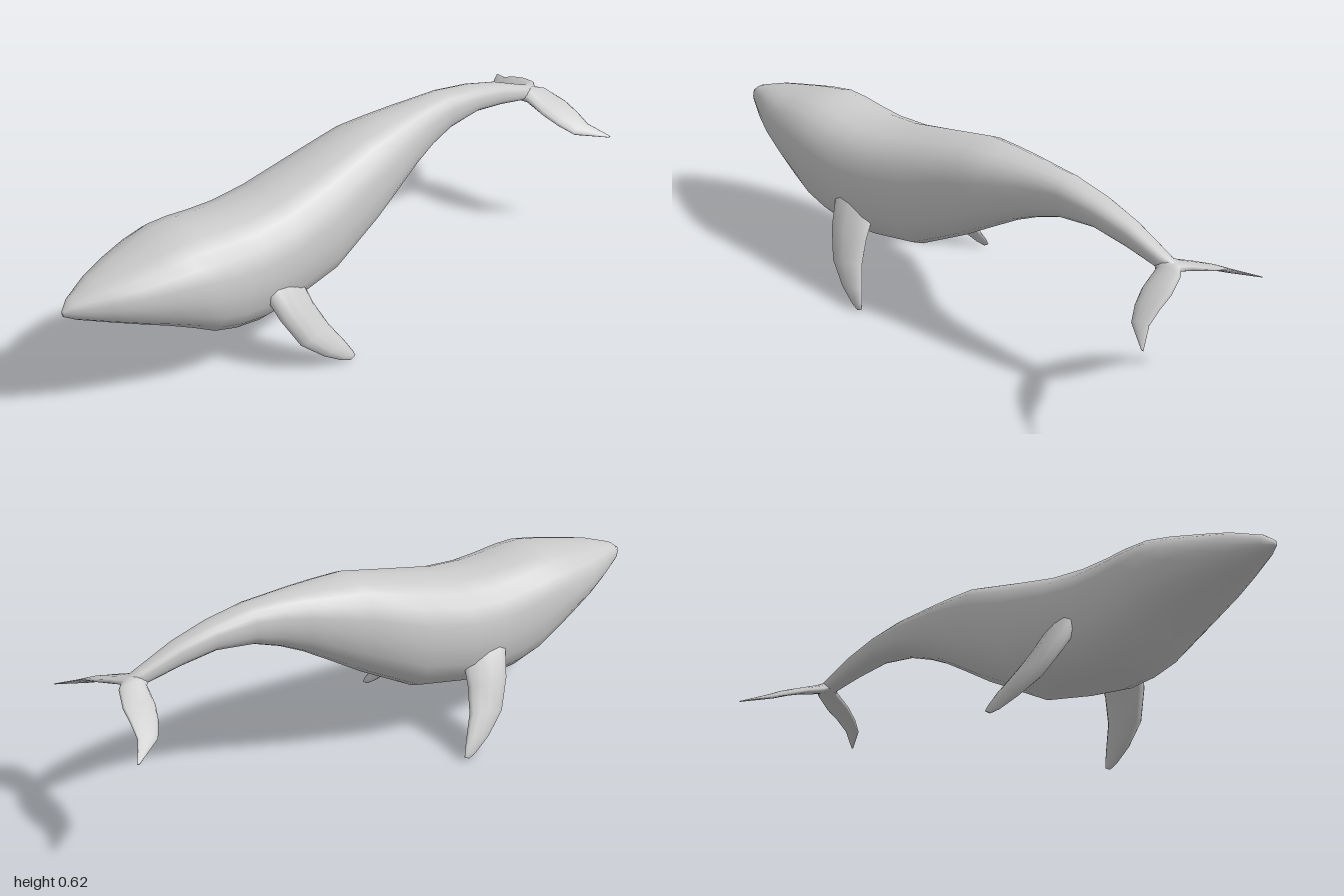
import * as THREE from 'three';

const material = new THREE.MeshStandardMaterial({ color: 0xcccccc });

// Skins a list of equal-length point rings, closes both ends, and turns faces outward.
function loft(rings, name) {
  const n = rings[0].length, last = rings.length - 1;
  const points = rings.flat();
  const index = [];
  for (let i = 0; i < last; i++) {
    for (let j = 0; j < n; j++) {
      const a = i * n + j, b = i * n + (j + 1) % n;
      index.push(a, a + n, b, b, a + n, b + n);
    }
  }
  for (const i of [0, last]) {
    const centre = rings[i].reduce((s, p) => s.add(p), new THREE.Vector3()).divideScalar(n);
    const c = points.push(centre) - 1;
    for (let j = 0; j < n; j++) {
      const a = i * n + j, b = i * n + (j + 1) % n;
      if (i === 0) index.push(c, a, b);
      else index.push(c, b, a);
    }
  }
  let volume = 0;
  for (let k = 0; k < index.length; k += 3) {
    const [a, b, c] = [0, 1, 2].map((d) => points[index[k + d]]);
    volume += a.dot(b.clone().cross(c));
  }
  if (volume < 0) index.reverse();
  const geometry = new THREE.BufferGeometry().setFromPoints(points);
  geometry.setIndex(index);
  geometry.computeVertexNormals();
  const mesh = new THREE.Mesh(geometry, material);
  mesh.name = name;
  return mesh;
}

// Body cross-section: a slightly squared oval.
function bodyRing([x, top, bottom, halfWidth]) {
  const ring = [], sides = 20, power = 2 / 2.4;
  const round = (v) => Math.sign(v) * Math.abs(v) ** power;
  for (let j = 0; j < sides; j++) {
    const a = (j / sides) * Math.PI * 2;
    ring.push(new THREE.Vector3(
      x,
      (top + bottom) / 2 + round(Math.sin(a)) * (top - bottom) / 2,
      round(Math.cos(a)) * halfWidth,
    ));
  }
  return ring;
}

// Fin cross-section: a teardrop between leading and trailing edge, thick along "up".
function finRing(lead, trail, half, up) {
  const ring = [], sides = 12;
  const L = new THREE.Vector3(...lead), T = new THREE.Vector3(...trail);
  for (let j = 0; j < sides; j++) {
    const a = (j / sides) * Math.PI * 2;
    const t = (1 - Math.cos(a)) / 2;
    ring.push(L.clone().lerp(T, t).addScaledVector(up, Math.sin(a) * half * (1.15 - 0.5 * t)));
  }
  return ring;
}

// x, top, bottom, half width, from snout to tail stock
const bodyStations = [
  [-1.0, 0.42, 0.4, 0.008],
  [-0.97, 0.444, 0.383, 0.035],
  [-0.88, 0.475, 0.345, 0.088],
  [-0.8, 0.492, 0.31, 0.126],
  [-0.7, 0.515, 0.263, 0.16],
  [-0.62, 0.53, 0.218, 0.178],
  [-0.55, 0.53, 0.172, 0.184],
  [-0.47, 0.522, 0.145, 0.186],
  [-0.38, 0.517, 0.134, 0.187],
  [-0.26, 0.526, 0.148, 0.186],
  [-0.09, 0.566, 0.18, 0.173],
  [0.1, 0.612, 0.287, 0.143],
  [0.2, 0.617, 0.352, 0.12],
  [0.3, 0.62, 0.415, 0.094],
  [0.38, 0.62, 0.455, 0.075],
  [0.47, 0.618, 0.488, 0.061],
  [0.6, 0.595, 0.505, 0.05],
  [0.72, 0.562, 0.485, 0.038],
  [0.84, 0.51, 0.457, 0.026],
  [0.88, 0.495, 0.465, 0.015],
];

// leading edge, trailing edge, half thickness, from shoulder to tip
const flipperStations = [
  [[-0.405, 0.32, 0.145], [-0.24, 0.29, 0.135], 0.036],
  [[-0.365, 0.2, 0.21], [-0.225, 0.2, 0.192], 0.033],
  [[-0.32, 0.11, 0.25], [-0.2, 0.13, 0.238], 0.028],
  [[-0.25, 0.05, 0.277], [-0.165, 0.07, 0.272], 0.02],
  [[-0.19, 0.013, 0.291], [-0.145, 0.03, 0.292], 0.01],
  [[-0.16, 0.003, 0.297], [-0.14, 0.014, 0.298], 0.004],
];

// same layout, from the tail's centre to one fluke tip
const flukeStations = [
  [[0.8, 0.485, 0], [0.905, 0.478, 0], 0.022],
  [[0.835, 0.465, 0.03], [0.927, 0.478, 0.03], 0.019],
  [[0.845, 0.437, 0.1], [0.95, 0.455, 0.1], 0.014],
  [[0.865, 0.413, 0.155], [0.955, 0.435, 0.155], 0.012],
  [[0.895, 0.39, 0.205], [0.96, 0.408, 0.205], 0.009],
  [[0.99, 0.375, 0.275], [1.0, 0.376, 0.277], 0.002],
];

const mirrorZ = ([x, y, z]) => [x, y, -z];

export function createModel() {
  const whale = new THREE.Group();
  whale.name = 'whale';

  whale.add(loft(bodyStations.map(bodyRing), 'body'));

  // Flippers, one per side
  for (const side of [1, -1]) {
    const up = new THREE.Vector3(0, 0.45, 0.9 * side);
    const rings = flipperStations.map(([lead, trail, half]) => (side > 0
      ? finRing(lead, trail, half, up)
      : finRing(mirrorZ(lead), mirrorZ(trail), half, up)));
    whale.add(loft(rings, side > 0 ? 'flipperNear' : 'flipperFar'));
  }

  // Tail flukes, swept from tip to tip
  const up = new THREE.Vector3(0, 1, 0);
  const far = flukeStations.slice(1).reverse()
    .map(([lead, trail, half]) => [mirrorZ(lead), mirrorZ(trail), half]);
  const rings = [...far, ...flukeStations].map(([lead, trail, half]) => finRing(lead, trail, half, up));
  whale.add(loft(rings, 'tailFlukes'));

  return whale;
}
